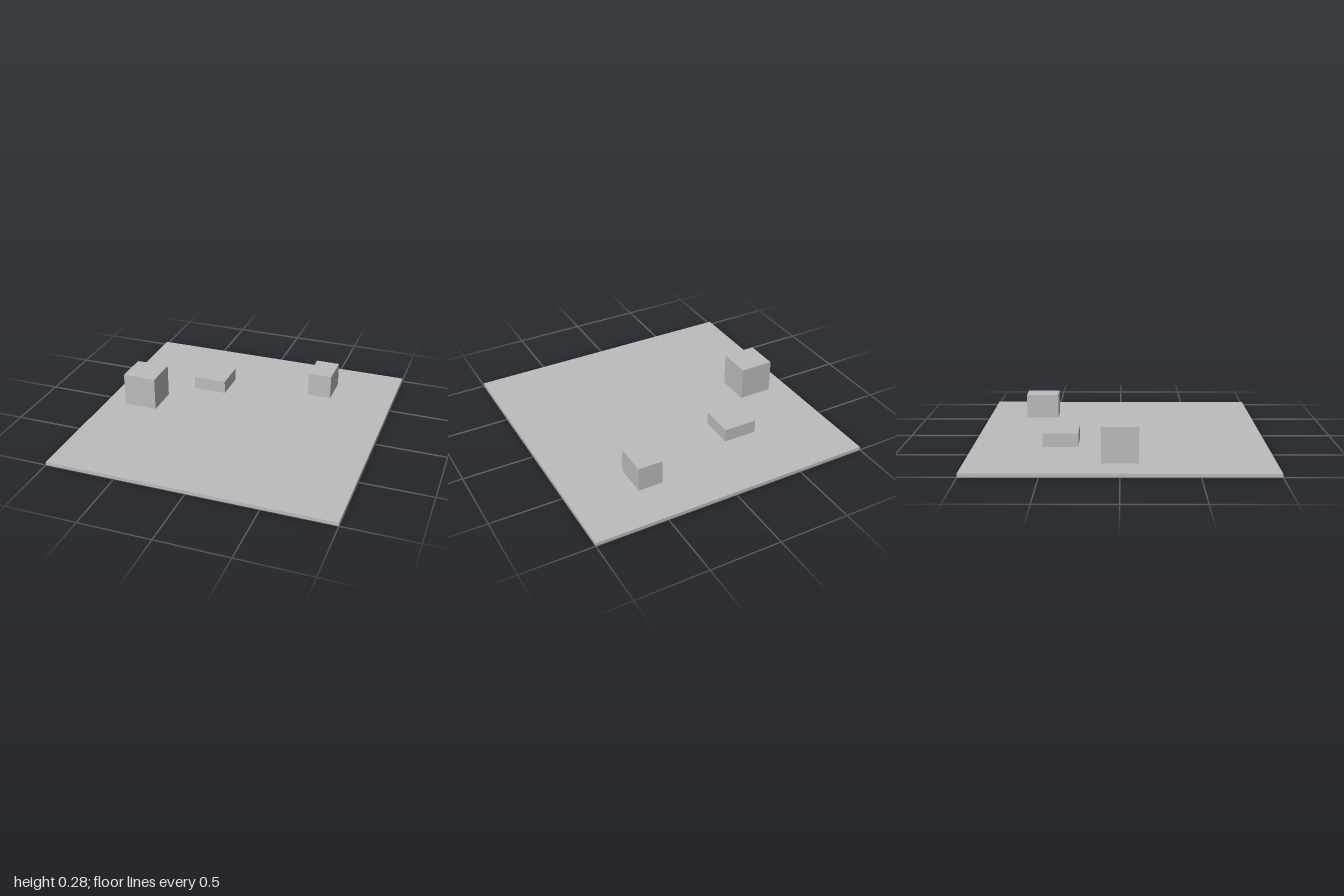
import * as THREE from 'three';

export function createModel() {
  const model = new THREE.Group();
  model.name = 'platformWithBlocks';

  const grey = new THREE.MeshStandardMaterial({ color: 0xbcbcbc });
  grey.name = 'plain grey';

  // Axis-aligned box given by its footprint centre, base height and size
  function addBox(name, [x, y, z], [w, h, d]) {
    const mesh = new THREE.Mesh(new THREE.BoxGeometry(w, h, d), grey);
    mesh.name = name;
    mesh.position.set(x, y + h / 2, z);
    model.add(mesh);
  }

  // Thin square ground slab
  addBox('groundSlab', [0, 0, 0], [2, 0.024, 2]);

  // Blocks hovering just above the slab
  const base = 0.04;
  addBox('cubeBlock', [-0.718, base, 0], [0.24, 0.238, 0.24]);
  addBox('lowBlock', [-0.329, base, -0.4], [0.24, 0.094, 0.24]);
  addBox('narrowBlock', [0.471, base, -0.588], [0.172, 0.174, 0.236]);

  return model;
}
